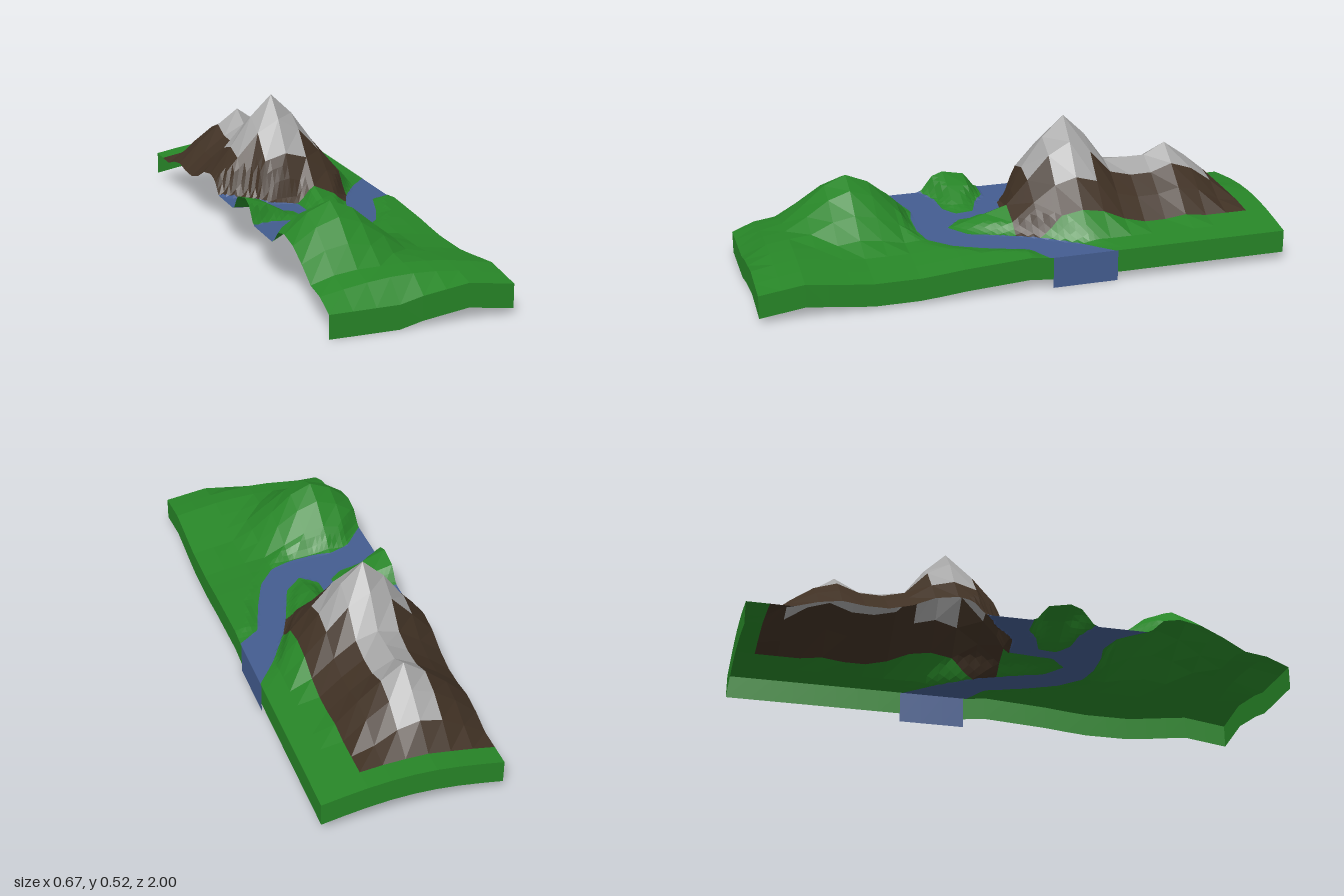
import * as THREE from 'three';

const W = 0.3325, COLS = 8, ROWS = 24, DX = 2 * W / COLS, DZ = 2 / ROWS;

// Piecewise-linear profile through [position, value] pairs
function profile(pts, t) {
  if (t <= pts[0][0]) return pts[0][1];
  for (let i = 1; i < pts.length; i++) {
    const [a, va] = pts[i - 1], [b, vb] = pts[i];
    if (t <= b) return va + (vb - va) * (t - a) / (b - a);
  }
  return pts[pts.length - 1][1];
}

// River outline: mountain bank, both promontories, then the south bank
const RIVER = [
  [0.4, -0.41], [0.33, -0.32], [0.25, -0.22], [0.165, -0.08], [0.13, 0], [0.07, 0.17], [0, 0.23],
  [-0.06, 0.17], [-0.07, 0], [-0.165, -0.01], [-0.25, -0.09], [-0.335, -0.15], [-0.42, -0.2],
  [-0.42, 0.03], [-0.25, 0.03], [-0.2, 0.07], [-0.12, 0.1], [-0.11, 0.17], [-0.165, 0.21],
  [-0.25, 0.22], [-0.335, 0.26], [-0.42, 0.3],
  [-0.42, 0.56], [-0.335, 0.46], [-0.25, 0.36], [-0.17, 0.335], [-0.1, 0.35], [0, 0.35],
  [0.08, 0.33], [0.15, 0.25], [0.2, 0.13], [0.25, -0.02], [0.33, -0.07], [0.4, -0.1],
];

// Signed distance to the bank: negative in the water
function bank(x, z) {
  let best = 9, inside = false;
  RIVER.forEach(([ax, az], i) => {
    const [bx, bz] = RIVER[(i + 1) % RIVER.length], ex = bx - ax, ez = bz - az;
    const t = THREE.MathUtils.clamp(((x - ax) * ex + (z - az) * ez) / (ex * ex + ez * ez), 0, 1);
    best = Math.min(best, Math.hypot(x - ax - t * ex, z - az - t * ez));
    if ((az > z) !== (bz > z) && x < ax + ex * (z - az) / ez) inside = !inside;
  });
  return inside ? -best : best;
}
const waterY = (x) => 0.143 - 0.07 * x;

// Hills: ridge line at x from z0 to z1, with height by distance
const HILLS = [
  { x: -0.083, z0: -0.25, z1: -0.25, p: [[0, 0.52], [0.083, 0.44], [0.167, 0.325], [0.25, 0.225], [0.34, 0.13], [0.45, 0]] },
  { x: -0.083, z0: -0.667, z1: -0.667, p: [[0, 0.37], [0.083, 0.31], [0.167, 0.24], [0.25, 0.16], [0.4, 0]] },
  { x: -0.083, z0: -0.667, z1: -0.25, p: [[0, 0.325], [0.083, 0.28], [0.167, 0.22], [0.25, 0.15], [0.4, 0]] },
  { x: -0.166, z0: 0.583, z1: 0.583, p: [[0, 0.335], [0.083, 0.3], [0.167, 0.23], [0.25, 0.165], [0.4, 0.05]] },
  { x: -0.333, z0: 0.13, z1: 0.167, p: [[0, 0.245], [0.083, 0.215], [0.18, 0.16], [0.3, 0]] },
  { x: 0, z0: 0, z1: 0.083, p: [[0, 0.185], [0.1, 0.14], [0.2, 0]] },
];
const SIDE = [[-1, 0.12], [-0.2, 0.12], [0, 0.13], [0.25, 0.115], [0.4, 0.1], [0.6, 0.1], [0.83, 0.13], [1, 0.107]];
const FRONT = [[-W, 0.085], [-0.083, 0.087], [0, 0.107], [0.166, 0.131], [W, 0.107]];

// Height at a grid corner
function corner(i, j) {
  const x = -W + i * DX, z = -1 + j * DZ;
  if (bank(x, z) < 0) return waterY(x);
  let y = profile(SIDE, z) + 0.04 * Math.sin(Math.PI * i / COLS);
  if (j === ROWS) y = profile(FRONT, x);
  if (i === COLS || j === 0 || j === ROWS) return y;
  for (const h of HILLS) {
    const dz = z - THREE.MathUtils.clamp(z, h.z0, h.z1);
    y = Math.max(y, profile(h.p, Math.hypot(x - h.x, dz)));
  }
  return y;
}
const grid = Array.from({ length: COLS + 1 }, (_, i) => Array.from({ length: ROWS + 1 }, (_, j) => corner(i, j)));

// Point on the faceted ground, easing down to the water at the bank
function groundPoint(i, j, u, v) {
  const x = -W + (i + u) * DX, z = -1 + (j + v) * DZ, d = bank(x, z);
  const a = grid[i][j], b = grid[i + 1][j], c = grid[i][j + 1], e = grid[i + 1][j + 1];
  let y = u + v < 1 ? a + (b - a) * u + (c - a) * v : e + (c - e) * (1 - u) + (b - e) * (1 - v);
  const w = waterY(x);
  if (d < 0.04) y = w + (y - w) * Math.max(0, d / 0.04);
  return { p: [x, y, z], d };
}

// Part of a triangle on one side of the bank, as a triangle fan
function clip(tri, sign, out) {
  const poly = [];
  tri.forEach((a, k) => {
    const b = tri[(k + 1) % 3];
    if (a.d * sign >= 0) poly.push(a.p);
    if (a.d * b.d < 0) {
      const t = a.d / (a.d - b.d);
      poly.push(a.p.map((q, n) => q + (b.p[n] - q) * t));
    }
  });
  for (let k = 2; k < poly.length; k++) out.push(...poly[0], ...poly[k - 1], ...poly[k]);
}

// Surface type of a grid cell
function cellType(x, z) {
  if (z < -0.08 && z > -0.83 && x > -0.17 && x < 0) return 'snow';
  if (z < -0.17 && z > -0.33 && x > -0.25 && x < 0.083) return 'snow';
  return x < 0.166 && z > -0.917 && z < 0 ? 'rock' : 'grass';
}

export function createModel() {
  const group = new THREE.Group();
  const parts = { grass: [], rock: [], snow: [], river: [], skirt: [], riverMouth: [] };

  // Ground cells, cut finer where the river runs
  for (let i = 0; i < COLS; i++) for (let j = 0; j < ROWS; j++) {
    const x = -W + (i + 0.5) * DX, z = -1 + (j + 0.5) * DZ;
    const n = z > -0.45 && z < 0.6 && Math.abs(bank(x, z)) < 0.1 ? 4 : 1;
    for (let a = 0; a < n; a++) for (let b = 0; b < n; b++) {
      const at = (da, db) => groundPoint(i, j, (a + da) / n, (b + db) / n);
      const p = at(0, 0), q = at(1, 0), r = at(0, 1), s = at(1, 1);
      for (const tri of [[p, r, q], [q, r, s]]) {
        clip(tri, 1, parts[cellType(x, z)]);
        clip(tri, -1, parts.river);
      }
    }
  }

  // Hanging edges along the front, back and left; the river has its own
  const wall = (out, a, b, ya, yb) => out.push(
    ...a, a[0], ya, a[2], b[0], yb, b[2], ...a, b[0], yb, b[2], ...b);
  const drop = (y) => Math.max(0, y - 0.087);
  for (let i = 0; i < COLS; i++) for (const j of [0, ROWS]) {
    const ends = [[-W + i * DX, grid[i][j], j ? 1 : -1], [-W + (i + 1) * DX, grid[i + 1][j], j ? 1 : -1]];
    if (!j) ends.reverse();
    wall(parts.skirt, ends[0], ends[1], drop(ends[0][1]), drop(ends[1][1]));
  }
  for (let j = 0; j < ROWS; j++) {
    const y0 = grid[COLS][j], y1 = grid[COLS][j + 1], z = -1 + j * DZ;
    const mouth = z > -0.34 && z < -0.1;
    wall(mouth ? parts.riverMouth : parts.skirt, [W, y1, z + DZ], [W, y0, z],
      mouth ? 0 : drop(y1), mouth ? 0 : drop(y0));
  }

  const colors = { grass: 0x278527, rock: 0x403124, snow: 0xa6a6a6, river: 0x435c8f, skirt: 0x278527, riverMouth: 0x435c8f };
  for (const [name, pos] of Object.entries(parts)) {
    const geo = new THREE.BufferGeometry();
    geo.setAttribute('position', new THREE.Float32BufferAttribute(pos, 3));
    geo.computeVertexNormals();
    const mesh = new THREE.Mesh(geo, new THREE.MeshStandardMaterial({
      color: colors[name], flatShading: true, side: THREE.DoubleSide }));
    mesh.name = name;
    group.add(mesh);
  }
  return group;
}
